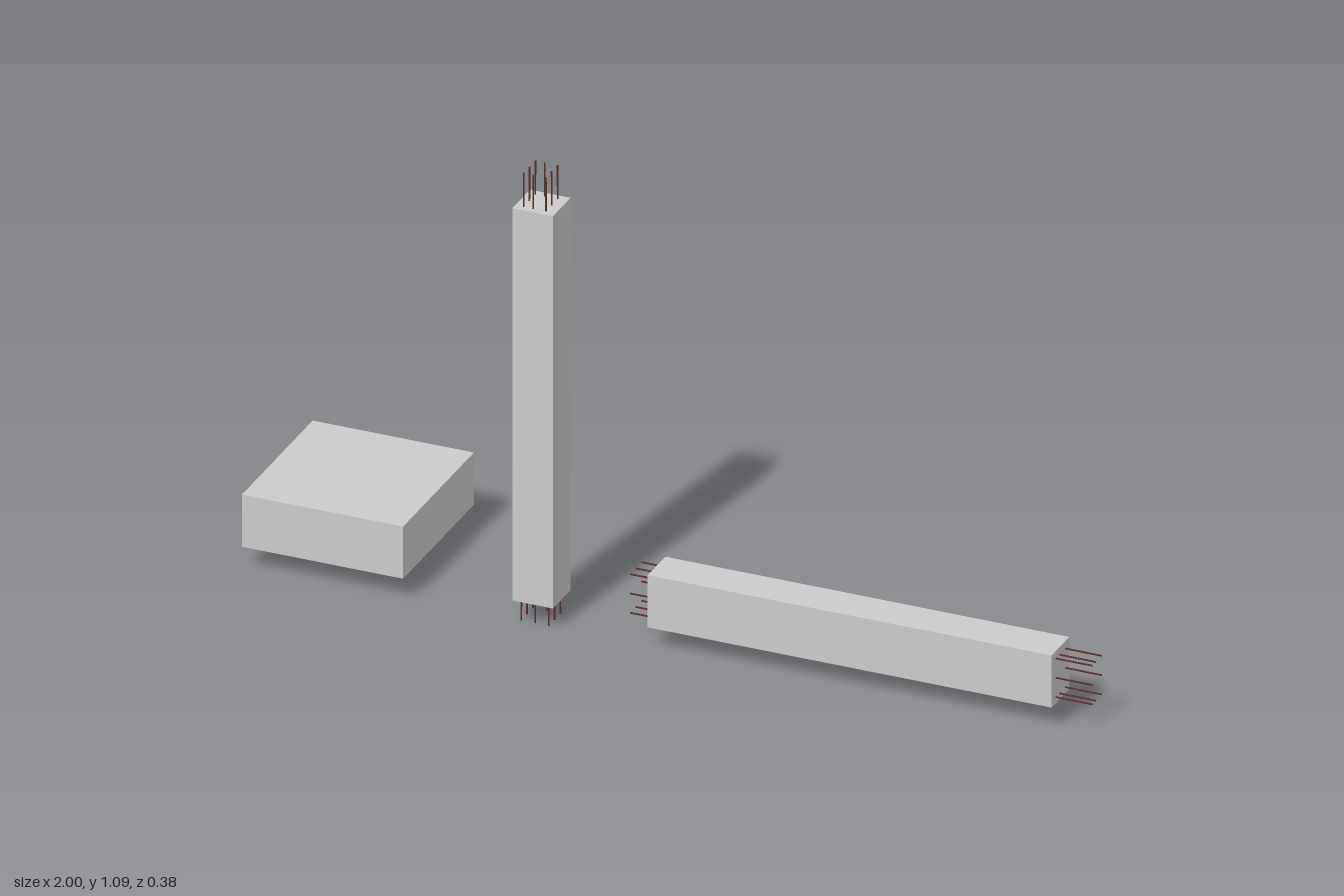
import * as THREE from 'three';

const concrete = new THREE.MeshStandardMaterial({ color: 0xcccccc });
const steel = new THREE.MeshStandardMaterial({ color: 0x5a3028 });

// Solid block given by its extents on each axis
function block(name, [x0, x1], [y0, y1], [z0, z1]) {
  const mesh = new THREE.Mesh(new THREE.BoxGeometry(x1 - x0, y1 - y0, z1 - z0), concrete);
  mesh.name = name;
  mesh.position.set((x0 + x1) / 2, (y0 + y1) / 2, (z0 + z1) / 2);
  return mesh;
}

// Thin round bar running from a to b
function bar(a, b) {
  const dir = b.clone().sub(a);
  const mesh = new THREE.Mesh(new THREE.CylinderGeometry(0.002, 0.002, dir.length(), 8), steel);
  mesh.name = 'reinforcingBar';
  mesh.position.copy(a).add(b).multiplyScalar(0.5);
  mesh.quaternion.setFromUnitVectors(new THREE.Vector3(0, 1, 0), dir.normalize());
  return mesh;
}

// Eight bars around the rim of a 3 x 3 layout; ends(i, j) gives both end points
function barCage(name, ends) {
  const cage = new THREE.Group();
  cage.name = name;
  for (let i = 0; i < 3; i++) {
    for (let j = 0; j < 3; j++) {
      if (i === 1 && j === 1) continue;
      cage.add(bar(...ends(i, j)));
    }
  }
  return cage;
}

export function createModel() {
  const model = new THREE.Group();
  model.name = 'concreteMembers';
  const v = (x, y, z) => new THREE.Vector3(x, y, z);
  const height = [0.053, 0.18], depth = [0.096, 0.192];

  model.add(block('footing', [-1, -0.619], height, [-0.192, 0.192]));

  // Upright column, its bars leaning slightly between the two ends
  const footX = [-0.347, -0.314, -0.282], headX = [-0.341, -0.319, -0.289];
  const columnZ = [0.112, 0.144, 0.175];
  model.add(block('column', [-0.361, -0.265], [0.053, 1.008], depth));
  model.add(barCage('columnBars', (i, j) => [
    v(footX[i], 0, columnZ[j]), v(headX[i], 1.09, columnZ[j])]));

  // Horizontal beam
  const beamY = [0.068, 0.115, 0.162];
  const startZ = [0.108, 0.14, 0.17], endZ = [0.118, 0.15, 0.169];
  model.add(block('beam', [-0.041, 0.914], height, depth));
  model.add(barCage('beamBars', (i, j) => [
    v(-0.092, beamY[i], startZ[j]), v(1, beamY[i], endZ[j])]));

  return model;
}
